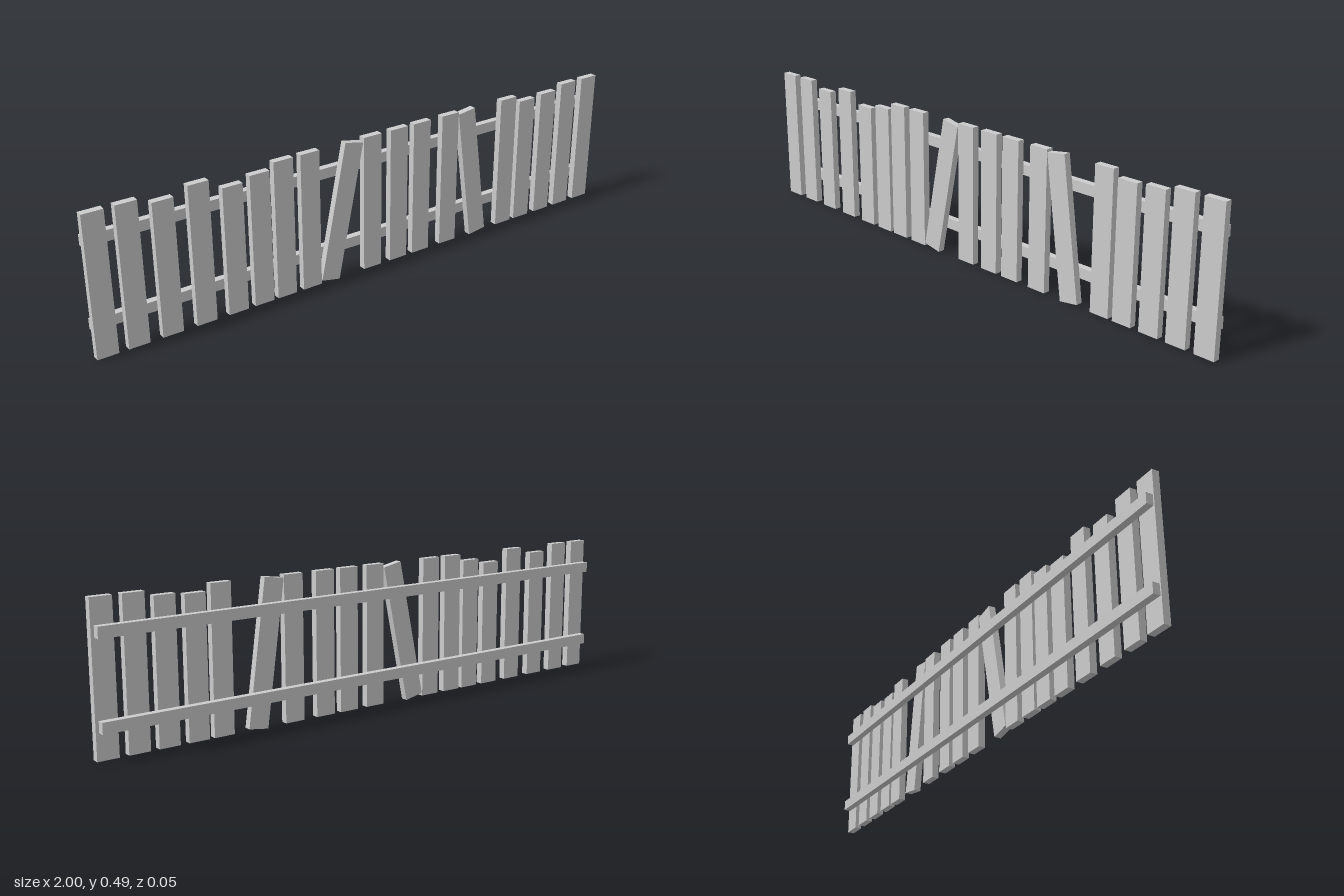
import * as THREE from 'three';

const WIDTH = 0.07, DEPTH = 0.024, BASE = 0.005, FULL = 0.48;

export function createModel() {
  const fence = new THREE.Group();
  fence.name = 'fence';
  const material = new THREE.MeshStandardMaterial({ color: 0xcccccc, flatShading: true });

  function board(name, w, h, x, y, z, tilt = 0) {
    const mesh = new THREE.Mesh(new THREE.BoxGeometry(w, h, DEPTH), material);
    mesh.name = name;
    mesh.position.set(x, y, z);
    mesh.rotation.z = tilt;
    fence.add(mesh);
  }

  // Upright pickets: centre x and, for the shorter ones, height
  const pickets = [
    [-0.965], [-0.863], [-0.75, 0.457], [-0.633], [-0.52, 0.441], [-0.425, 0.457],
    [-0.34], [-0.243], [-0.002], [0.105], [0.2], [0.32],
    [0.58], [0.667, 0.457], [0.767, 0.463], [0.865], [0.965],
  ];
  for (const [x, h = FULL] of pickets) board('picket', WIDTH, h, x, BASE + h / 2, DEPTH / 2);

  // Two loose pickets that lean sideways
  board('leaningPicket', WIDTH, FULL, -0.123, 0.243, DEPTH / 2, -0.204);
  board('leaningPicket', WIDTH, FULL, 0.424, 0.243, DEPTH / 2, 0.14);

  // Horizontal rails along the back
  for (const y of [0.108, 0.386]) board('rail', 1.985, 0.036, -0.003, y, -DEPTH / 2);

  return fence;
}
